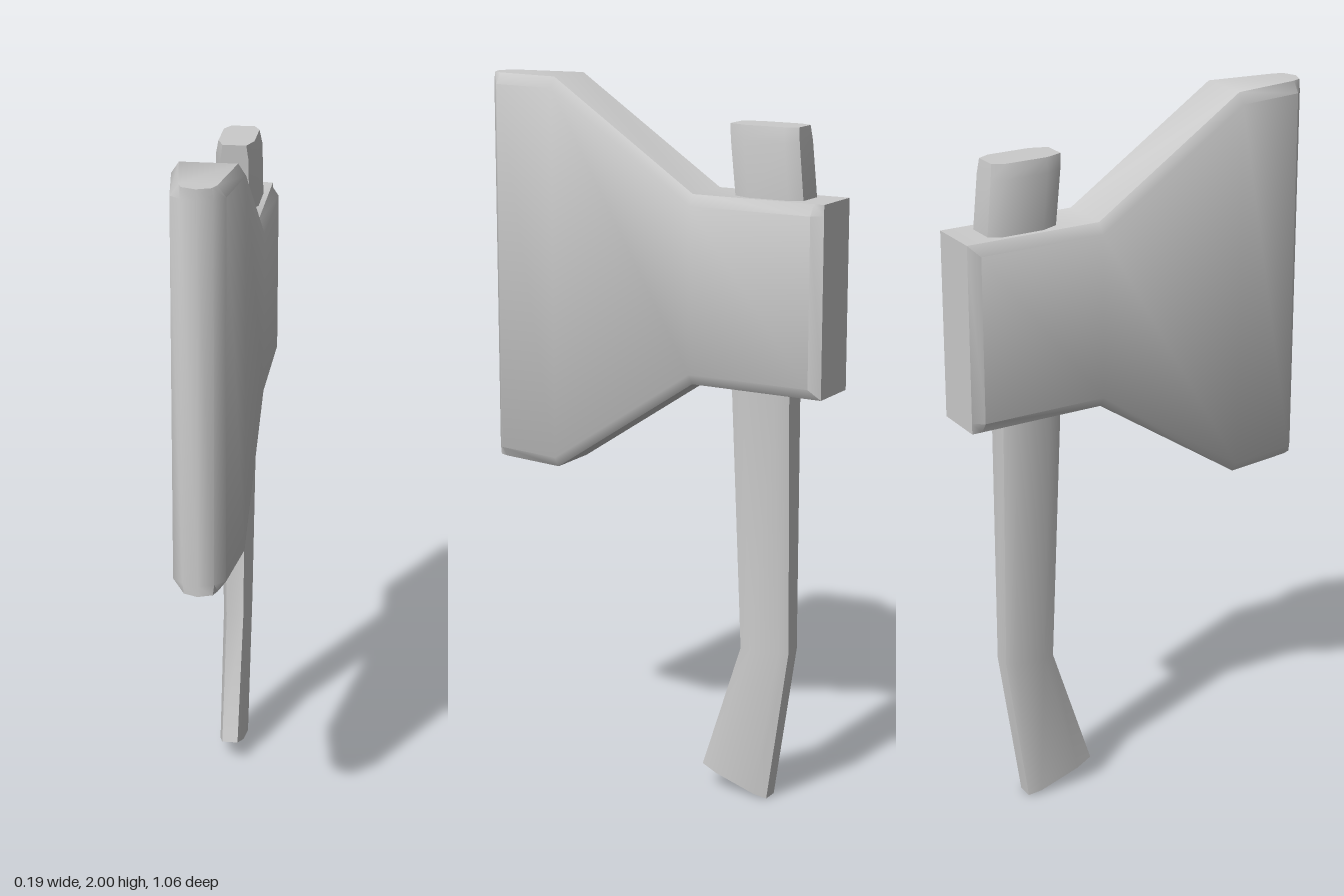
import * as THREE from 'three';
import { toCreasedNormals } from 'three/addons/utils/BufferGeometryUtils.js';

// Skin a row of equal-length loops and close both ends.
function loft(loops, crease) {
  const n = loops[0].length, last = (loops.length - 1) * n, index = [];
  for (let s = 0; s < loops.length - 1; s++) {
    for (let i = 0; i < n; i++) {
      const a = s * n + i, b = s * n + (i + 1) % n;
      index.push(a, b, b + n, a, b + n, a + n);
    }
  }
  for (let i = 1; i < n - 1; i++) {
    index.push(0, i + 1, i, last, last + i, last + i + 1);
  }
  const geometry = new THREE.BufferGeometry();
  geometry.setAttribute('position', new THREE.Float32BufferAttribute(loops.flat(2), 3));
  geometry.setIndex(index);
  return toCreasedNormals(geometry, crease);
}

// Upright octagon across the head: half width, half width of the top face, height range.
function headLoop([z, w, inner, y0, y1]) {
  const b = 0.03;
  return [
    [w, y0 + b, z], [w, y1 - b, z], [inner, y1, z], [-inner, y1, z],
    [-w, y1 - b, z], [-w, y0 + b, z], [-inner, y0, z], [inner, y0, z],
  ];
}

// Octagon across the handle; front and back ends may sit at different heights.
function handleLoop([yFront, zFront, yBack, zBack, w]) {
  const at = (x, t) => [x, yFront + (yBack - yFront) * t, zFront + (zBack - zFront) * t];
  const n = w * 0.66;
  return [
    at(w, 0.24), at(w, 0.83), at(n, 1), at(-n, 1),
    at(-w, 0.83), at(-w, 0.24), at(-n, 0), at(n, 0),
  ];
}

export function createModel() {
  const model = new THREE.Group();
  model.name = 'axe';
  const material = new THREE.MeshStandardMaterial({ color: 0xcccccc });
  const add = (name, geometry) => {
    const mesh = new THREE.Mesh(geometry, material);
    mesh.name = name;
    model.add(mesh);
  };

  // Head, from the square poll at the back to the flared cutting edge
  add('axeHead', loft([
    [-0.53, 0.075, 0.075, 1.19, 1.71],
    [-0.5, 0.095, 0.075, 1.19, 1.71],
    [-0.14, 0.095, 0.075, 1.19, 1.71],
    [0.295, 0.095, 0.075, 0.9, 2],
    [0.49, 0.07, 0.048, 0.9, 2],
    [0.515, 0.042, 0.038, 0.9, 2],
    [0.53, 0.001, 0.001, 0.9, 2],
  ].map(headLoop), 0.8));

  // Handle, from the forward-kicked butt up through the eye
  add('handle', loft([
    [0.07, -0.15, 0.005, -0.355, 0.035],
    [0.44, -0.27, 0.45, -0.42, 0.038],
    [1.19, -0.24, 1.19, -0.415, 0.05],
    [1.71, -0.25, 1.71, -0.452, 0.06],
    [1.86, -0.234, 1.86, -0.438, 0.058],
    [1.9, -0.23, 1.9, -0.433, 0.05],
  ].map(handleLoop), 0.8));

  return model;
}
